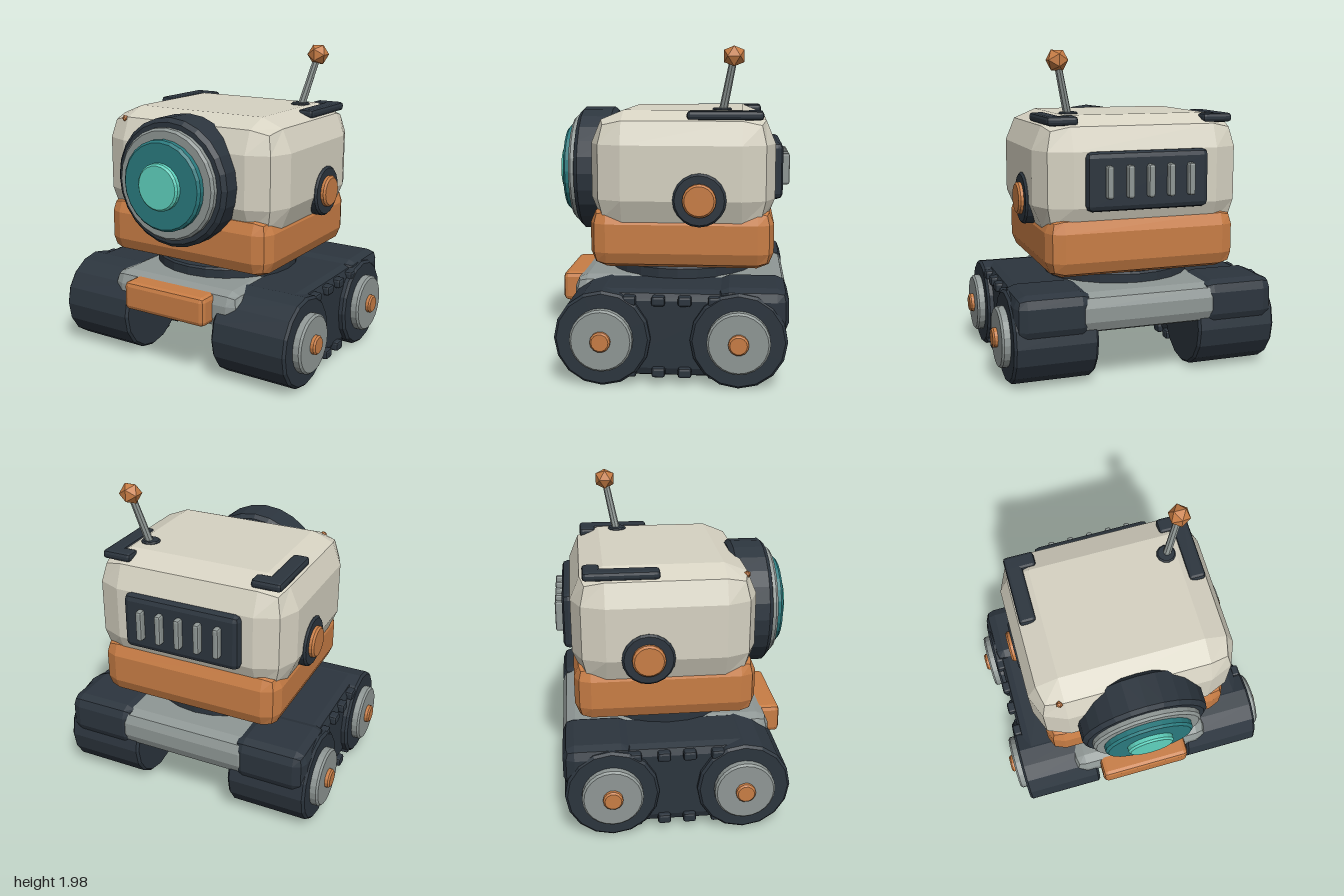
import * as THREE from 'three';
import { RoundedBoxGeometry } from 'three/addons/geometries/RoundedBoxGeometry.js';

const paint = (name, color) => new THREE.MeshStandardMaterial({ name, color, flatShading: true });

export function createModel() {
  const cream = paint('cream', 0xd6d2c2);
  const orange = paint('orange', 0xc87d45);
  const dark = paint('charcoal', 0x2c353e);
  const grey = paint('grey', 0x8f9795);
  const teal = paint('teal', 0x2a7a7e);
  const glow = paint('aqua', 0x5fd2be);

  const robot = new THREE.Group();
  robot.name = 'roverRobot';

  const add = (name, geometry, material, parent = robot) => {
    const mesh = new THREE.Mesh(geometry, material);
    mesh.name = name;
    parent.add(mesh);
    return mesh;
  };

  // Bevelled box given by its extents on each axis
  const box = (name, material, [x0, x1], [y0, y1], [z0, z1], r, parent) => {
    const mesh = add(name, new RoundedBoxGeometry(x1 - x0, y1 - y0, z1 - z0, 1, r), material, parent);
    mesh.position.set((x0 + x1) / 2, (y0 + y1) / 2, (z0 + z1) / 2);
    return mesh;
  };

  // Chamfered disc running from a to b along the x, y or z axis
  const disc = (name, material, axis, [x, y, z], r, a, b, bevel, sides, parent) => {
    const profile = [[0, a], [r - bevel, a], [r, a + bevel], [r, b - bevel], [r - bevel, b], [0, b]];
    const geometry = new THREE.LatheGeometry(profile.map(p => new THREE.Vector2(...p)), sides);
    if (axis === 'x') geometry.rotateZ(-Math.PI / 2);
    if (axis === 'z') geometry.rotateX(Math.PI / 2);
    const mesh = add(name, geometry, material, parent);
    mesh.position.set(x, y, z);
    return mesh;
  };

  // Head and lower body
  box('head', cream, [-0.65, 0.65], [0.88, 1.61], [-0.64, 0.48], 0.2);
  box('lowerBody', orange, [-0.6, 0.6], [0.655, 1.03], [-0.635, 0.48], 0.1);
  add('statusLight', new THREE.IcosahedronGeometry(0.022, 0), orange).position.set(-0.48, 1.54, 0.415);

  // Big round eye
  const eye = new THREE.Group();
  eye.name = 'eye';
  robot.add(eye);
  const c = [0, 1.21, 0];
  disc('eyeHousing', dark, 'z', c, 0.4, 0.37, 0.61, 0.025, 24, eye);
  disc('eyeRing', grey, 'z', c, 0.345, 0.55, 0.652, 0.015, 24, eye);
  disc('iris', teal, 'z', c, 0.28, 0.6, 0.698, 0.015, 24, eye);
  disc('pupil', glow, 'z', c, 0.145, 0.65, 0.735, 0.012, 24, eye);

  // Rear vent
  box('ventPanel', dark, [-0.38, 0.38], [1.06, 1.41], [-0.69, -0.6], 0.035);
  for (let i = -2; i <= 2; i++) {
    box('ventFin', grey, [i * 0.127 - 0.02, i * 0.127 + 0.02], [1.14, 1.335], [-0.735, -0.67], 0.014);
  }

  // Antenna
  const foot = new THREE.Vector3(0.39, 1.58, -0.315);
  const tip = new THREE.Vector3(0.475, 1.93, -0.385);
  disc('antennaBase', dark, 'y', [0.39, 0, -0.315], 0.06, 1.57, 1.622, 0.008, 12);
  const span = tip.clone().sub(foot);
  const rod = add('antennaRod', new THREE.CylinderGeometry(0.022, 0.026, span.length(), 8), grey);
  rod.position.copy(foot).addScaledVector(span, 0.5);
  rod.quaternion.setFromUnitVectors(new THREE.Vector3(0, 1, 0), span.normalize());
  add('antennaBall', new THREE.IcosahedronGeometry(0.07, 0), orange).position.copy(tip);

  // Chassis, swivel plate and front bumper
  box('chassis', grey, [-0.475, 0.475], [0.335, 0.58], [-0.72, 0.6], 0.08);
  disc('swivelPlate', dark, 'y', [0, 0, -0.05], 0.47, 0.56, 0.645, 0.012, 24);
  box('bumper', orange, [-0.3, 0.3], [0.375, 0.56], [0.5, 0.7], 0.03);

  for (const s of [1, -1]) {
    const side = new THREE.Group();
    side.name = s > 0 ? 'leftSide' : 'rightSide';
    robot.add(side);
    const mx = (a, b) => (s > 0 ? [a, b] : [-b, -a]);

    // Ear on the side of the head
    const ear = (name, m, r, a, b) =>
      disc(name, m, 'x', [0, 1.09, -0.19], r, ...mx(a, b), 0.012, 20, side);
    ear('earRing', dark, 0.16, 0.58, 0.665);
    ear('earCap', orange, 0.1, 0.62, 0.695);

    // L-shaped corner guard on the roof
    box('roofGuardLong', dark, mx(0.48, 0.585), [1.555, 1.61], [-0.565, -0.11], 0.02, side);
    box('roofGuardShort', dark, mx(0.395, 0.585), [1.555, 1.61], [-0.565, -0.46], 0.02, side);

    // Track body with tread bars
    box('trackBody', dark, mx(0.36, 0.79), [0.05, 0.575], [-0.5, 0.42], 0.06, side);
    box('rearFender', dark, mx(0.35, 0.82), [0.32, 0.595], [-0.72, -0.3], 0.07, side);
    for (const z of [0.21, 0.04, -0.115, -0.29]) {
      for (const y of [0.52, 0.09]) {
        box('treadBar', dark, mx(0.33, 0.825), [y - 0.03, y + 0.03], [z - 0.04, z + 0.04], 0.015, side);
      }
    }

    // Wheels with hubs
    for (const z of [0.37, -0.43]) {
      const wheel = (name, m, r, a, b, bevel, n) =>
        disc(name, m, 'x', [0, 0.292, z], r, ...mx(a, b), bevel, n, side);
      wheel('tyre', dark, 0.285, 0.32, 0.83, 0.015, 16);
      wheel('hub', grey, 0.185, 0.78, 0.88, 0.012, 24);
      wheel('hubCap', orange, 0.06, 0.84, 0.91, 0.01, 14);
    }
  }
  return robot;
}
